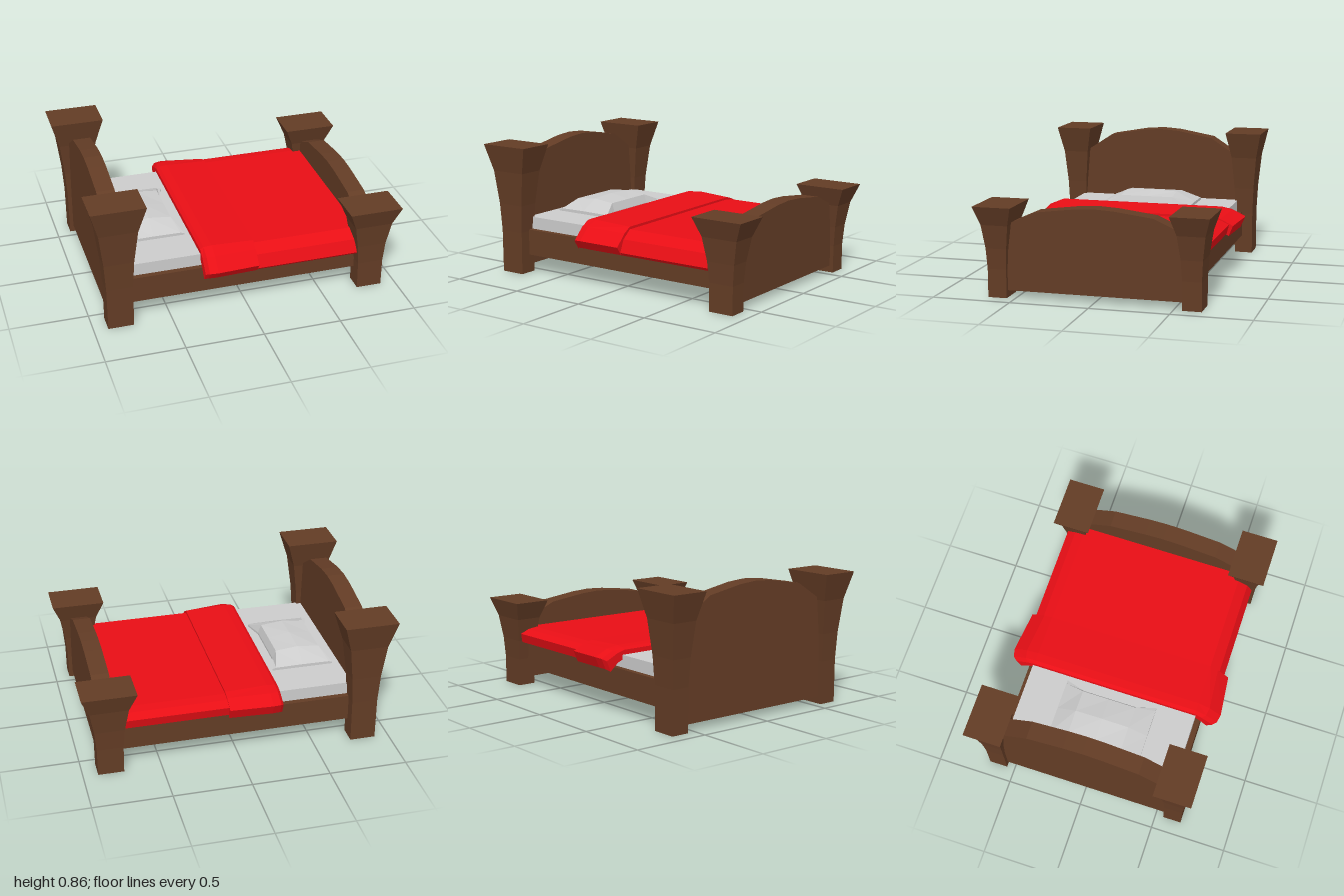
import * as THREE from 'three';

const material = (color) => new THREE.MeshStandardMaterial({ color, flatShading: true });

// Skin equal-length rings of points; each ring runs clockwise seen from the end of the loft.
function loft(rings) {
  const n = rings[0].length, last = rings.length - 1, pos = [];
  const quad = (a, b, c, d) => [a, b, c, a, c, d].forEach((p) => pos.push(...p));
  for (let s = 0; s < last; s++) {
    const a = rings[s], b = rings[s + 1];
    for (let i = 0; i < n; i++) {
      const j = (i + 1) % n;
      quad(a[i], b[i], b[j], a[j]);
    }
  }
  // End caps, zipped between the first and second half of the ring
  for (let i = 0; i < n / 2 - 1; i++) {
    const k = [i, i + 1, n - 2 - i, n - 1 - i];
    quad(...k.map((m) => rings[0][m]));
    quad(...k.reverse().map((m) => rings[last][m]));
  }
  const geo = new THREE.BufferGeometry();
  geo.setAttribute('position', new THREE.Float32BufferAttribute(pos, 3));
  geo.computeVertexNormals();
  return geo;
}

// Flared square post: profile rows are [y, half x, half z]
function postGeometry(profile) {
  return loft(profile.map(([y, hx, hz]) => [[-hx, y, -hz], [hx, y, -hz], [hx, y, hz], [-hx, y, hz]]));
}

// Arched end board: arch holds [z, y] points from the centre outwards
function boardGeometry(arch, thickness) {
  const shape = new THREE.Shape();
  shape.moveTo(-0.56, 0.045);
  shape.lineTo(0.56, 0.045);
  [...arch].reverse().forEach(([z, y]) => shape.lineTo(z, y));
  arch.slice(1).forEach(([z, y]) => shape.lineTo(-z, y));
  const geo = new THREE.ExtrudeGeometry(shape, { depth: thickness, bevelEnabled: false });
  geo.translate(0, 0, -thickness / 2);
  geo.rotateY(Math.PI / 2);
  return geo;
}

export function createModel() {
  const group = new THREE.Group();
  const wood = material(0x633c25), linen = material(0xcccccc), red = material(0xe80e15);
  const add = (name, geo, mat, x = 0, y = 0, z = 0) => {
    const mesh = new THREE.Mesh(geo, mat);
    mesh.name = name;
    mesh.position.set(x, y, z);
    group.add(mesh);
    return mesh;
  };

  // Four posts, taller at the head
  const headPost = postGeometry([[0, 0.082, 0.06], [0.28, 0.084, 0.06], [0.46, 0.095, 0.067],
    [0.68, 0.122, 0.086], [0.855, 0.172, 0.122]]);
  const footPost = postGeometry([[0, 0.082, 0.06], [0.18, 0.084, 0.06], [0.31, 0.095, 0.067],
    [0.46, 0.122, 0.086], [0.58, 0.172, 0.122]]);
  for (const side of [1, -1]) {
    add('headPost', headPost, wood, -0.827, 0, side * 0.613);
    add('footPost', footPost, wood, 0.823, 0, side * 0.613);
  }

  // End boards
  add('headboard', boardGeometry([[0, 0.855], [0.125, 0.846], [0.365, 0.803], [0.53, 0.695], [0.56, 0.665]], 0.115), wood, -0.827);
  add('footboard', boardGeometry([[0, 0.58], [0.125, 0.573], [0.37, 0.542], [0.53, 0.47], [0.56, 0.45]], 0.115), wood, 0.823);

  // Base with side rails, and mattress
  add('bedBase', new THREE.BoxGeometry(1.56, 0.17, 1.2), wood, 0, 0.205, 0);
  add('mattress', new THREE.BoxGeometry(1.54, 0.1, 1.13), linen, 0, 0.32, 0);

  // Pillow: domed in the middle, flat and wider at its ends
  const across = [-1, -0.88, 0, 0.88, 1];
  const pillowRing = (z, half, crown) => {
    const top = across.map((t, i) => [-0.52 + t * half, crown[i], z]);
    const bottom = across.map((t) => [-0.52 + t * half, 0.365, z]).reverse();
    return [...top, ...bottom];
  };
  const flat = [0.382, 0.388, 0.39, 0.388, 0.382], dome = [0.385, 0.44, 0.455, 0.44, 0.385];
  const crest = dome.map((y, i) => (i === 2 ? 0.463 : y));
  add('pillow', loft([pillowRing(-0.308, 0.203, flat), pillowRing(-0.18, 0.166, dome), pillowRing(0, 0.166, crest),
    pillowRing(0.18, 0.166, dome), pillowRing(0.308, 0.203, flat)]), linen);

  // Blanket, hanging lower on the front side; sections are [z, y]
  const drape = [[0.66, 0.26], [0.625, 0.34], [0.56, 0.392], [-0.55, 0.395], [-0.61, 0.386], [-0.665, 0.36],
    [-0.65, 0.3], [-0.6, 0.345], [-0.55, 0.365], [0.55, 0.365], [0.6, 0.31], [0.64, 0.24]];
  add('blanket', loft([-0.22, 0.8].map((x) => drape.map(([z, y]) => [x, y, z]))), red);

  // Turned-down fold of the blanket; stations are [x, z scale, y shift]
  const fold = [[0.72, 0.305], [0.64, 0.382], [0.56, 0.415], [-0.55, 0.415], [-0.63, 0.402], [-0.72, 0.36],
    [-0.69, 0.29], [-0.6, 0.34], [-0.55, 0.36], [0.55, 0.36], [0.6, 0.31], [0.68, 0.25]];
  const stations = [[-0.283, 0.95, -0.015], [-0.262, 0.985, 0], [-0.21, 1, 0.004], [0.063, 0.96, -0.006]];
  add('blanketFold', loft(stations.map(([x, s, dy]) =>
    fold.map(([z, y]) => [x, y + dy, Math.abs(z) > 0.6 ? z * s : z]))), red);

  return group;
}
